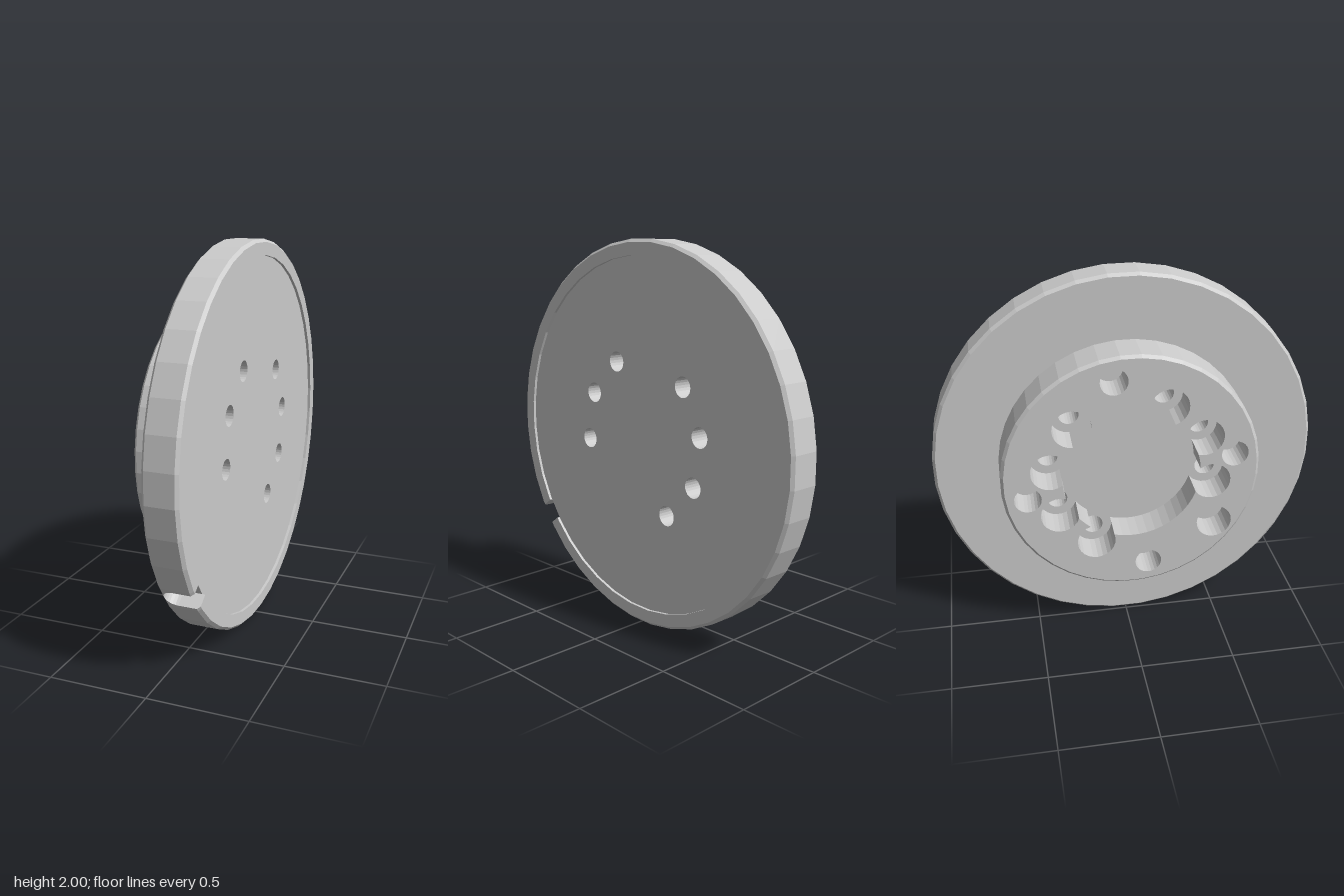
import * as THREE from 'three';

const rad = (d) => (d * Math.PI) / 180;
const SIDES = 40;
const SLOT = 215.5; // direction of the rim slot and locating hole, in degrees
const HALF = 4.5; // half of one rim facet, in degrees
const BACK = 0.008, FACE = 0.185, FLOOR = -0.03, HUB = -0.198, BEVEL = 0.015;
const BOLTS = [0, 1, 3, 4, 5, 8, 9].map((j) => 8.5 + 36 * j);

// Points along an arc, last one left out (angles in degrees)
function arc(cx, cy, r, a0, a1, n) {
  return Array.from({ length: n }, (_, i) => {
    const a = rad(a0 + ((a1 - a0) * i) / n);
    return new THREE.Vector2(cx + r * Math.cos(a), cy + r * Math.sin(a));
  });
}

const disc = (r) => new THREE.Shape(arc(0, 0, r, SLOT + HALF, SLOT + HALF + 360, SIDES));

// Round hole at a polar position
function hole(angle, dist, r) {
  const a = rad(angle);
  return new THREE.Path(arc(dist * Math.cos(a), dist * Math.sin(a), r, 0, 360, 24));
}

// Central bore whose edge is scalloped by the bolt counterbores
function scallopedBore(R, c, r) {
  const phi = Math.acos((R * R + c * c - r * r) / (2 * R * c));
  const sweep = THREE.MathUtils.radToDeg(Math.atan2(R * Math.sin(phi), R * Math.cos(phi) - c));
  const half = THREE.MathUtils.radToDeg(phi);
  const pts = [];
  BOLTS.forEach((a, i) => {
    const next = i + 1 < BOLTS.length ? BOLTS[i + 1] : BOLTS[0] + 360;
    pts.push(...arc(c * Math.cos(rad(a)), c * Math.sin(rad(a)), r, a - sweep, a + sweep, 18));
    pts.push(...arc(0, 0, R, a + half, next - half, Math.round((next - a) / 9)));
  });
  return new THREE.Path(pts);
}

// Plate across the x axis, from x0 to x1
function plate(shape, holes, x0, x1) {
  shape.holes = holes;
  const g = new THREE.ExtrudeGeometry(shape, { depth: x1 - x0, bevelEnabled: false });
  return g.rotateY(Math.PI / 2).translate(x0, 0, 0);
}

// Turned profile around the x axis, given as [radius, x]
function turned(profile, start = SLOT - 180 + HALF, length = 360) {
  const pts = profile.map(([r, x]) => new THREE.Vector2(r, x));
  const g = new THREE.LatheGeometry(pts, Math.round(length / 9), rad(start), rad(length));
  return g.rotateZ(-Math.PI / 2);
}

// One rim facet with a round-ended slot open to the face
function slotFacet() {
  const w = Math.sin(rad(HALF)), r = 0.057, cx = 0.077, depth = 0.08;
  const shape = new THREE.Shape([
    new THREE.Vector2(-w, FACE),
    new THREE.Vector2(-w, BACK),
    new THREE.Vector2(w, BACK),
    new THREE.Vector2(w, FACE),
    new THREE.Vector2(r, FACE),
    ...arc(0, cx, r, 0, -180, 12),
    new THREE.Vector2(-r, cx),
    new THREE.Vector2(-r, FACE),
  ]);
  const g = new THREE.ExtrudeGeometry(shape, { depth, steps: 5, bevelEnabled: false });
  const p = g.attributes.position;
  // chamfer the outermost layer
  for (let i = 0; i < p.count; i++) {
    if (p.getZ(i) < depth - 0.001) continue;
    if (p.getY(i) > FACE - 0.001) p.setY(i, FACE - BEVEL);
    else if (p.getY(i) < BACK + 0.001) p.setY(i, BACK + BEVEL);
  }
  g.translate(0, 0, Math.cos(rad(HALF)) - depth);
  const t = rad(180 - SLOT), s = Math.sin(t), c = Math.cos(t);
  return g.applyMatrix4(new THREE.Matrix4().makeBasis(
    new THREE.Vector3(0, -c, s),
    new THREE.Vector3(1, 0, 0),
    new THREE.Vector3(0, s, c),
  ));
}

export function createModel() {
  const material = new THREE.MeshStandardMaterial({
    color: 0xcccccc, flatShading: true, side: THREE.DoubleSide,
  });
  const model = new THREE.Group();
  model.name = 'flangedDisc';
  const add = (name, geometry) => {
    const mesh = new THREE.Mesh(geometry, material);
    mesh.name = name;
    model.add(mesh);
  };
  const boltHoles = () => BOLTS.map((a) => hole(a, 0.42, 0.053));

  // Flange: recessed face, raised chamfered rim and rim slot
  add('flangePlate', plate(disc(0.92), boltHoles(), BACK, FACE - 0.015));
  add('flangeRim', turned([
    [0.92, BACK], [1 - BEVEL, BACK], [1, BACK + BEVEL], [1, FACE - BEVEL],
    [1 - BEVEL, FACE], [0.92, FACE], [0.92, FACE - 0.02],
  ], SLOT - 180 + HALF, 360 - 2 * HALF));
  add('rimSlot', slotFacet());

  // Hub: bore floor, pocketed body and chamfered outer wall
  const hubRadius = 0.665, hubFace = hubRadius - BEVEL;
  add('boreFloor', plate(disc(hubFace), boltHoles(), FLOOR, BACK));
  add('hubBody', plate(disc(hubFace), [
    scallopedBore(0.355, 0.42, 0.1),
    ...[80.5, 170.5, 260.5, 350.5].map((a) => hole(a, 0.54, 0.07)),
    hole(SLOT, 0.54, 0.093),
  ], HUB, FLOOR));
  add('hubWall', turned([[hubFace, HUB], [hubRadius, HUB + BEVEL], [hubRadius, BACK]]));

  model.rotation.y = -0.0105;
  model.position.y = 1;
  const root = new THREE.Group();
  root.add(model);
  return root;
}
